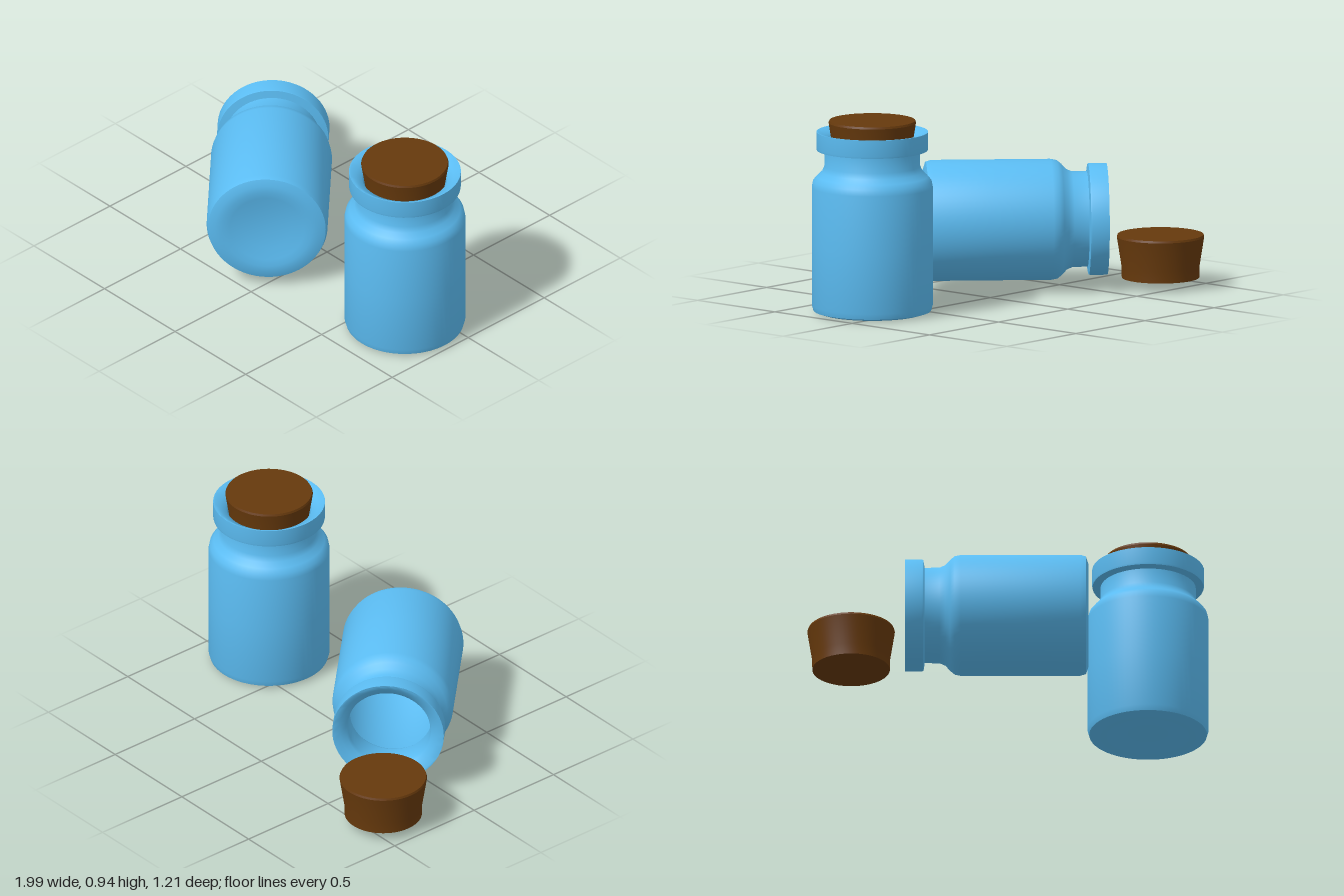
import * as THREE from 'three';
import { toCreasedNormals } from 'three/addons/utils/BufferGeometryUtils.js';

// Revolve an [r, y] profile, keeping strong corners sharp
function revolve(name, profile, color, crease) {
  const points = profile.map(([r, y]) => new THREE.Vector2(r, y));
  const geometry = toCreasedNormals(new THREE.LatheGeometry(points, 64), crease);
  const mesh = new THREE.Mesh(geometry, new THREE.MeshStandardMaterial({ color }));
  mesh.name = name;
  return mesh;
}

function makeJar(name) {
  return revolve(name, [
    // dimpled base
    [0, 0.02], [0.12, 0.018], [0.18, 0.005], [0.215, 0], [0.25, 0.001], [0.284, 0.012],
    // body and shoulder
    [0.292, 0.04], [0.292, 0.33], [0.292, 0.615], [0.286, 0.645], [0.268, 0.667], [0.243, 0.69], [0.231, 0.718],
    // neck and flared rim
    [0.23, 0.79], [0.268, 0.796], [0.27, 0.805], [0.27, 0.885], [0.262, 0.885], [0.235, 0.862], [0.207, 0.85],
    // hollow inside
    [0.2, 0.83], [0.2, 0.71], [0.215, 0.68], [0.25, 0.645], [0.262, 0.61], [0.262, 0.07], [0.24, 0.045], [0, 0.04],
  ], 0x5bbcf2, 0.9);
}

function makeCork(name) {
  return revolve(name, [
    [0, 0], [0.187, 0], [0.188, 0.055], [0.211, 0.2], [0.207, 0.21], [0, 0.21],
  ], 0x66390c, 0.5);
}

export function createModel() {
  const model = new THREE.Group();
  model.name = 'corkedJars';

  // Upright jar, closed
  const standing = new THREE.Group();
  standing.name = 'standingJar';
  const stopper = makeCork('fittedCork');
  stopper.position.y = 0.73;
  standing.add(makeJar('standingGlass'), stopper);
  standing.position.set(0.7, 0, 0.138);

  // Open jar on its side, mouth towards the back right
  const lying = makeJar('lyingJar');
  lying.rotation.set(0, -Math.PI / 4, Math.PI / 2);
  lying.position.set(0.02, 0.333, 0.415);

  // Cork next to the open mouth
  const loose = makeCork('looseCork');
  loose.position.set(-0.789, 0.045, -0.395);

  model.add(standing, lying, loose);
  return model;
}
